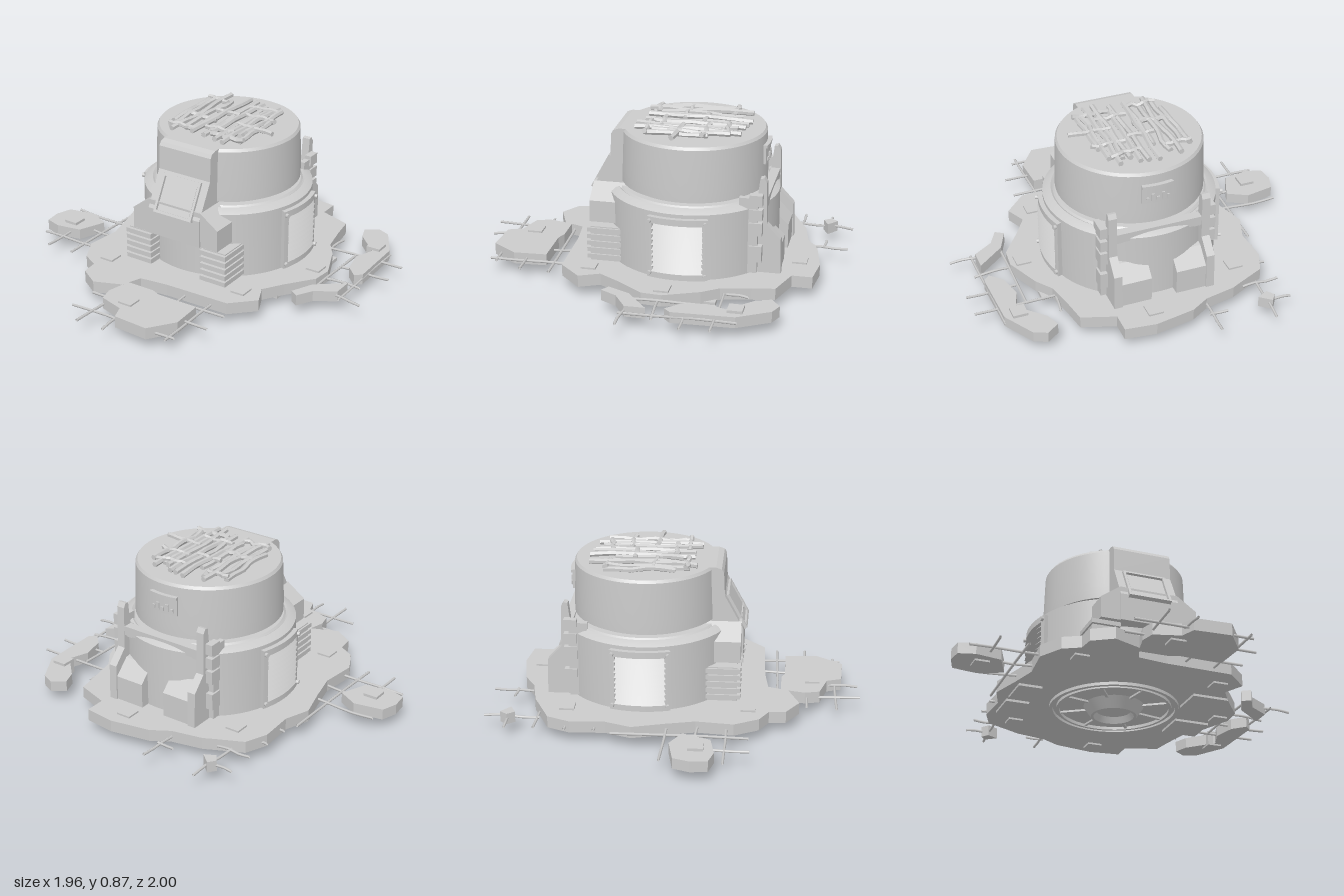
import * as THREE from 'three';
import { toCreasedNormals } from 'three/addons/utils/BufferGeometryUtils.js';

const CX = 0.02, CZ = -0.17; // axis of the round tower
const mat = new THREE.MeshStandardMaterial({ color: 0xcccccc, side: THREE.DoubleSide });
const V = (x, y) => new THREE.Vector2(x, y);

export function createModel() {
  const root = new THREE.Group();
  let seed = 7;
  const rnd = () => ((seed = (seed * 16807) % 2147483647) / 2147483647) - 0.5;

  const add = (name, geo, x = 0, y = 0, z = 0, parent = root) => {
    const m = new THREE.Mesh(geo, mat);
    m.name = name;
    m.position.set(x, y, z);
    parent.add(m);
    return m;
  };
  const box = (name, w, h, d, x, y, z, parent) => add(name, new THREE.BoxGeometry(w, h, d), x, y, z, parent);
  const shape = pts => new THREE.Shape(pts.map(p => V(...p)));
  const extrude = (s, depth, curveSegments = 12) =>
    new THREE.ExtrudeGeometry(s, { depth, bevelEnabled: false, curveSegments });
  const lathe = (pts, segs = 64, a = 0, len = Math.PI * 2) =>
    toCreasedNormals(new THREE.LatheGeometry(pts.map(p => V(...p)), segs, a, len), 0.5);
  // flat piece from an (x, z) outline
  const flat = (name, pts, y0, y1) => add(name, extrude(shape(pts), y1 - y0).rotateX(Math.PI / 2), 0, y1, 0);
  // piece from a (z, y) side profile, running from x0 to x1
  const side = (name, pts, x0, x1) => add(name, extrude(shape(pts), x1 - x0).rotateY(-Math.PI / 2), x1, 0, 0);
  // curved block around the tower axis, centred on angle a (0 = +x, in the x-z plane)
  const arc = (name, r0, r1, y0, y1, a, half) => {
    const s = new THREE.Shape();
    s.absarc(0, 0, r1, a - half, a + half, false);
    s.absarc(0, 0, r0, a + half, a - half, true);
    return add(name, toCreasedNormals(extrude(s, y1 - y0, 10).rotateX(Math.PI / 2), 0.5), CX, y1, CZ);
  };

  // broken ground slab and loose fragments
  flat('groundSlab', [[.31, -.86], [.31, -.75], [.49, -.69], [.51, -.57], [.545, -.41], [.61, -.32], [.69, -.13],
    [.68, -.02], [.57, .13], [.5, .24], [.55, .35], [.43, .47], [.06, .48], [-.1, .5], [-.14, .61], [-.29, .67],
    [-.4, .6], [-.41, .51], [-.5, .46], [-.57, .33], [-.55, .13], [-.59, -.03], [-.64, -.2], [-.59, -.34],
    [-.6, -.53], [-.55, -.65], [-.4, -.72], [-.35, -.745], [-.18, -.78], [-.08, -.84], [.14, -.88]], .06, .125);
  flat('frontFragment', [[-.13, .57], [.03, .57], [.08, .59], [.32, .59], [.33, .77], [.23, .91], [.03, .9],
    [0, .82], [-.14, .78], [-.16, .7]], .06, .125);
  flat('rightFragment', [[-.95, .04], [-.79, .01], [-.68, .07], [-.74, .22], [-.88, .245], [-.97, .22], [-.98, .13]], .06, .12);
  flat('leftFragment', [[.61, -.69], [.68, -.74], [.75, -.71], [.85, -.54], [.86, -.21], [.825, -.175], [.76, -.24],
    [.73, -.37], [.77, -.48], [.64, -.61]], .06, .12);
  flat('smallLeftFragment', [[.84, -.08], [.84, .03], [.73, .1], [.68, .19], [.635, .16], [.69, .04]], .06, .12);
  flat('backFragment', [[-.53, -.87], [-.5, -.91], [-.44, -.86], [-.5, -.83]], .06, .12);

  // square anchor plates going through the slab
  for (const [x, z] of [[.115, -.77], [-.43, -.56], [.62, -.12], [.42, .32], [-.38, .4], [.77, -.53], [-.83, .15], [0, .74]])
    box('anchorPlate', .08, .085, .08, x, .0925, z);
  // panels under the slab
  for (const [x, z, w] of [[.5, -.3, .2], [.45, .07, .2], [-.5, -.36, .13], [-.5, -.13, .13]])
    box('undersidePanel', w, .02, .19, x, .057, z);

  // reinforcing bars sticking out of the slab: x1, z1, x2, z2
  const bars = [[-.48, -1, -.5, -.7], [-.62, -.87, -.48, -.87], [-.62, -.715, -.42, -.71], [-.17, -1, -.18, -.78],
    [-.26, -.875, -.16, -.87], [-.62, -.555, -.56, -.55], [-.62, -.4, -.56, -.4], [-.64, -.31, -.65, .41],
    [-.93, -.03, -.55, -.02], [-.72, .13, -.55, .14], [-.93, .29, -.55, .29], [-.8, .2, -.805, .42],
    [-.13, .55, .46, .54], [-.26, .71, .46, .7], [-.27, .87, .37, .86], [-.13, .56, -.14, 1], [.01, .8, .015, .99],
    [.33, .46, .34, .9], [.17, .46, .17, .62], [.55, -.56, .53, -.4], [.53, -.43, .98, -.435], [.7, -.27, .98, -.28],
    [.66, -.11, .89, -.12], [.78, .03, .98, .045], [.7, -.42, .69, .06], [.85, -.55, .86, .06]];
  for (const [x1, z1, x2, z2] of bars) {
    const p = [0, .33, .67, 1].map((t, i) => new THREE.Vector3(
      x1 + (x2 - x1) * t, .09 + rnd() * .012, z1 + (z2 - z1) * t + (i % 3 ? rnd() * .008 : 0)));
    add('reinforcingBar', new THREE.TubeGeometry(new THREE.CatmullRomCurve3(p), 6, .0075, 5));
  }

  // round tower: lower drum, neck, upper drum
  add('towerBody', lathe([[0, .07], [.465, .07], [.465, .49], [.44, .505], [.42, .512], [.41, .505], [.4, .515], [.36, .515],
    [.36, .535], [.397, .535], [.397, .6], [.39, .815], [.38, .83], [0, .83]]), CX, 0, CZ);

  // hub and spoked ring under the slab
  add('bottomHub', lathe([[0, .035], [.095, .035], [.11, 0], [.125, 0], [.165, .06]], 40), CX - .005, 0, CZ + .01);
  for (const [r0, r1] of [[.3, .315], [.335, .355]])
    add('bottomRing', lathe([[r0, .06], [r0, .043], [r1, .043], [r1, .06]], 48), CX, 0, CZ);
  for (let i = 0; i < 8; i++) {
    const g = new THREE.BoxGeometry(.15, .012, .015).translate(.23, 0, 0).rotateY(i * Math.PI / 4 + .2);
    add('bottomSpoke', g, CX, .055, CZ);
  }

  // curved louvre vents on both sides
  for (const s of [1, -1]) {
    const a = s > 0 ? 0 : Math.PI;
    for (const e of [-1, 1]) {
      arc('ventFrameSide', .455, .49, .13, .47, a + e * .305, .03);
      for (const y of [.155, .447]) {
        const t = a + e * .305;
        const g = new THREE.CylinderGeometry(.012, .012, .02, 10).rotateZ(Math.PI / 2).rotateY(-t);
        add('ventBolt', g, CX + Math.cos(t) * .495, y, CZ + Math.sin(t) * .495);
      }
    }
    arc('ventFrameBottom', .455, .49, .13, .165, a, .3);
    arc('ventFrameTop', .455, .49, .435, .47, a, .3);
    const teeth = [];
    for (let i = 0; i < 9; i++) teeth.push([.495, .165 + i * .03], [.468, .19 + i * .03], [.468, .195 + i * .03]);
    add('ventSlats', lathe(teeth, 12, s * Math.PI / 2 - .28, .56), CX, 0, CZ);
  }

  // front housing with sloped window
  const slope = [[.1, .33], [.36, .33], [.36, .48], [.258, .67], [.252, .8], [.24, .82], [.21, .83], [.1, .83]];
  side('frontHousing', slope, CX - .163, CX + .163);
  const win = new THREE.Group();
  win.name = 'frontWindow';
  win.position.set(CX, .562, .316);
  win.rotation.x = -.493;
  root.add(win);
  for (const e of [-1, 1]) {
    box('windowSideRail', .014, .2, .03, e * .113, 0, 0, win);
    box('windowCrossRail', .24, .014, .03, 0, e * .1, 0, win);
  }
  box('windowPane', .2, .17, .02, 0, 0, -.003, win);

  for (const s of [-1, 1]) {
    const span = (a, b) => s > 0 ? [CX + a, CX + b] : [CX - b, CX - a];
    // front cheeks beside the housing, outer top edge cut off
    const cheek = shape([[0, .33], [.27, .33], [.27, .45], [.163, .525], [0, .525]]);
    const cg = extrude(cheek, .25);
    const m = add(s > 0 ? 'leftCheek' : 'rightCheek', s > 0 ? cg : cg.rotateY(Math.PI), CX, 0, s > 0 ? .1 : .35);
    m.name = 'frontCheek';
    // finned legs under the cheeks
    const [f0, f1] = span(.16, .32);
    box('finCore', .14, .2, .24, (f0 + f1) / 2, .22, .215);
    for (let i = 0; i < 5; i++) box('coolingFin', f1 - f0, .024, .25, (f0 + f1) / 2, .15 + i * .038, .228);

    // rear upright fin
    side('rearFin', [[-.5, .12], [-.69, .12], [-.685, .32], [-.61, .4], [-.605, .63], [-.59, .655], [-.57, .65],
      [-.555, .52], [-.5, .5]], ...span(.235, .28));
    // hinge blocks outside the fin
    const [h0, h1] = span(.28, .32);
    box('hingePlate', .03, .42, .1, (h0 + h1) / 2 - s * .005, .34, -.515);
    for (const [y, h] of [[.24, .09], [.38, .07], [.46, .06], [.54, .06]])
      box('hingeBlock', h1 - h0, h, .07, (h0 + h1) / 2, y, -.555);
    // rear foot box with sloped top
    side('rearFoot', [[-.5, .12], [-.68, .12], [-.68, .26], [-.6, .34], [-.5, .36]], ...span(.07, .235));
  }
  // crossbar between the rear fins
  box('rearCrossbar', .5, .05, .05, CX, .5, -.58);
  box('rearCrossbarBacking', .5, .04, .14, CX, .48, -.52);
  // small toothed plate on the back of the upper drum
  arc('rearPlate', .38, .407, .66, .765, -Math.PI / 2, .21);
  for (let i = 0; i < 5; i++) arc('rearPlateTooth', .4, .414, .675, .695 + (i % 2) * .02, -Math.PI / 2 - .14 + i * .07, .02);
  arc('rearPlateRim', .4, .414, .75, .765, -Math.PI / 2, .21);

  // heap of bent rods on the roof
  const rod = (x1, z1, x2, z2, y, r) => {
    const p = [];
    for (let i = 0; i <= 5; i++) {
      const t = i / 5;
      p.push(new THREE.Vector3(x1 + (x2 - x1) * t + rnd() * .018, y + rnd() * .012, z1 + (z2 - z1) * t + rnd() * .018));
    }
    const g = new THREE.TubeGeometry(new THREE.CatmullRomCurve3(p), 10, r, 6).toNonIndexed();
    g.computeVertexNormals();
    add('roofRod', g);
    // closed rod ends
    for (const [q, n] of [[p[0], p[1]], [p[5], p[4]]])
      add('roofRodEnd', new THREE.CircleGeometry(r, 6), q.x, q.y, q.z).lookAt(q.clone().multiplyScalar(2).sub(n));
  };
  const long = [[-.24, -.38, .0], [-.2, -.36, .07], [-.15, -.46, .12], [-.11, -.41, .05], [-.06, -.34, .04], [-.03, -.47, .09],
    [.02, -.47, .1], [.06, -.46, .05], [.1, -.42, .13], [.14, -.4, .05], [.17, -.44, .12], [.21, -.4, .03], [.24, -.28, .06]];
  long.forEach(([x, a, b], i) => rod(x, a, x + rnd() * .03, b, .842 + (i % 3) * .004, .015));
  for (const [x1, x2, z] of [[-.25, -.1, -.37], [.02, .2, -.36], [-.1, .05, -.22], [.08, .26, -.26], [.1, .34, -.12],
    [-.22, -.02, -.12], [-.02, .16, 0], [-.22, -.05, .06], [.05, .25, .05]])
    rod(x1, z, x2, z + rnd() * .04, .85, .014);

  return root;
}
